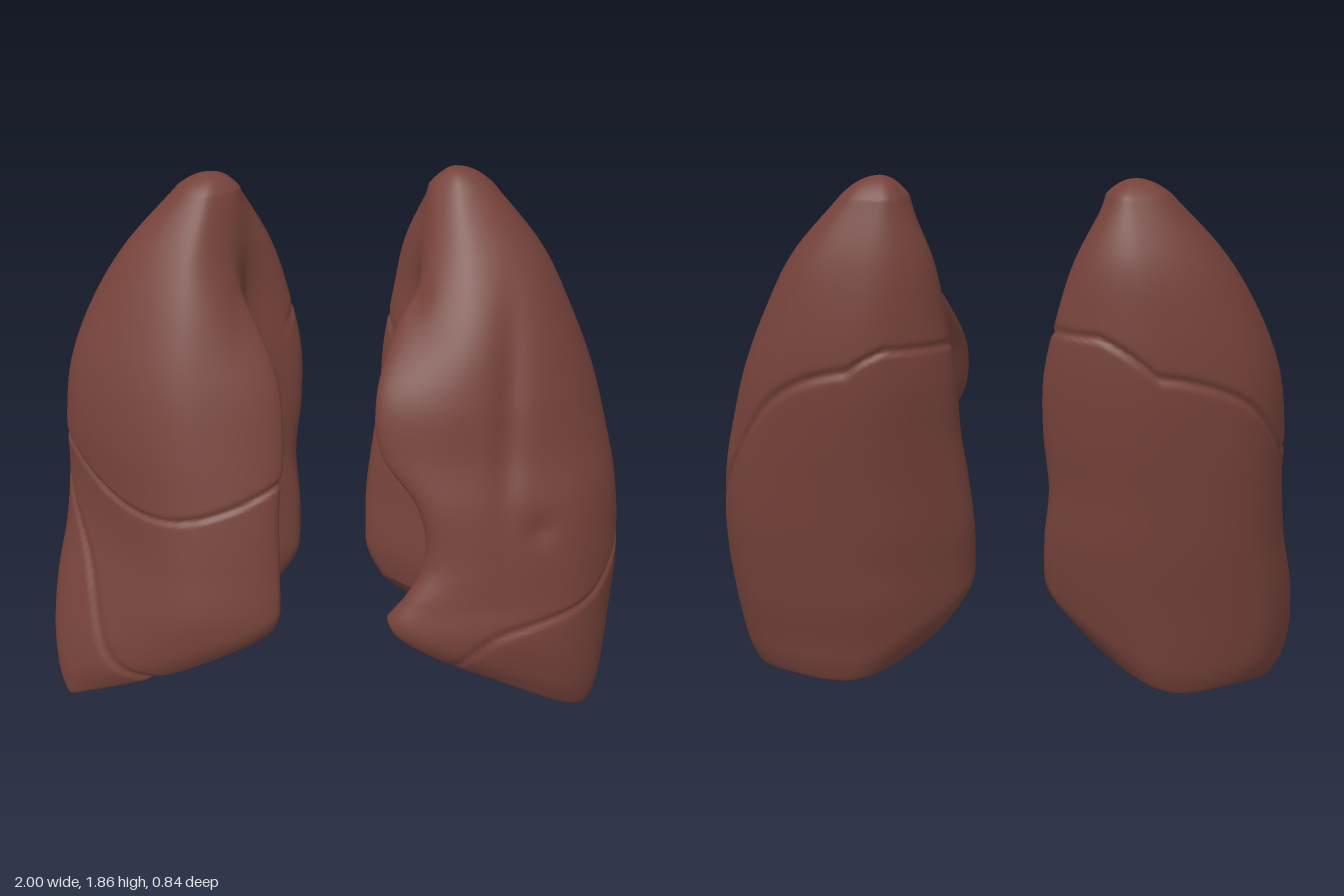
import * as THREE from 'three';

const COLS = 180, ROWS = 168, POINTS = 9;
const CAP = [0, 0.12, 0.25, 0.38, 0.5, 0.62, 0.73, 0.83, 0.91, 0.955, 0.985];
const { smoothstep } = THREE.MathUtils;

// Smooth function through [input, value, value...] rows
function smoothTable(rows) {
  const size = rows[0].length - 1;
  const f = new THREE.CubicInterpolant(rows.map(r => r[0]), rows.flatMap(r => r.slice(1)), size, new Float32Array(size));
  return v => f.evaluate(v);
}

// Closed Catmull-Rom value at position t (0..POINTS)
function loopValue(p, t) {
  const i = Math.floor(t), u = t - i;
  const [a, b, c, d] = [-1, 0, 1, 2].map(k => p[(i + k + POINTS) % POINTS]);
  return b + 0.5 * u * (c - a + u * (2 * a - 5 * b + 4 * c - d + u * (3 * (b - c) + d - a)));
}

// Horizontal outline: lateral, front corner, front, front edge, hilum, back edge, back shoulder, back, back corner
function outline([xl, zl, xf, zf, xmf, zmf, xh, xmb, zb, corner]) {
  const xb = (xl + xmb) / 2 - 0.03, zmb = zl + 0.45 * (zb - zl);
  return [
    [xl, xf + (corner + 0.02) * (xl - xf), xf, xmf, xh, xmb, xmb + 0.32 * (xb - xmb), xb, xb + 0.75 * (xl - xb)],
    [zl, zl + corner * (zf - zl), zf, zmf, (zmf + zmb) / 2, zmb, zmb + 0.7 * (zb - zmb), zb, zl + 0.72 * (zb - zl)],
  ];
}

// Fissure groove by distance, fading out around the hilum
const groove = (d, x, z) => 0.012 * Math.exp(-((d / 0.0095) ** 2))
  * Math.max(smoothstep(x, 0.32, 0.44), smoothstep(Math.abs(z), 0.16, 0.24));

// Signed distance from an oblique fissure whose height depends on depth z
function obliqueFissure(rows, frontX) {
  const height = smoothTable(rows);
  return (x, y, z) => {
    const zz = z - 0.75 * Math.max(0, 0.5 - x) * smoothstep(-z, 0, 0.15);
    const h = height(zz)[0], slope = (height(zz + 0.01)[0] - h) / 0.01;
    const drop = 5 * Math.max(0, frontX - x) ** 2 * smoothstep(z, 0.2, 0.35);
    return (y - h + drop) / Math.hypot(1, slope);
  };
}

// Builds one lung with its lobes; side is +1 or -1
function buildLung(spec, side, material) {
  const section = smoothTable(spec.rows);
  const [ax, top, az] = spec.apex, shoulder = 1.8;
  const [cx, cy, cz] = spec.base;
  const pos = [];

  const surfacePoint = (t, s) => {
    const rim = Math.max(0.012, loopValue(spec.rim, t));
    const y = rim + (top - rim) * s;
    const [px, pz] = outline(section(Math.min(y, shoulder)));
    let x = loopValue(px, t), z = loopValue(pz, t);
    // Lower edge, rounded most on the medial side
    const medial = smoothstep(cx - x, 0, 0.3) * smoothstep(0.3 - z, 0, 0.15);
    const tuck = (0.04 + 0.07 * medial) * Math.max(0, 1 - s / (0.05 + 0.03 * medial)) ** 2;
    x += (cx - x) * tuck;
    z += (cz - z) * tuck;
    // Domed apex
    const k = y > shoulder ? Math.sqrt(Math.max(0, (top - y) / (top - shoulder))) : 1;
    return [ax + (x - ax) * k, y, az + (z - az) * k];
  };

  // Slightly hollow base, from its centre out to the rim
  for (const r of CAP) {
    for (let j = 0; j < COLS; j++) {
      const [x, y, z] = surfacePoint(j * POINTS / COLS, 0);
      const lip = r > 0.9 ? 0.01 : 0;
      pos.push(cx + (x - cx) * r, Math.max(0, cy + (y - cy) * r ** 1.25 - lip), cz + (z - cz) * r);
    }
  }
  // Walls, from the rim up to the apex, with rows closing up at the tip
  for (let i = 0; i <= ROWS; i++) {
    const v = i / ROWS;
    const s = v < 0.9 ? v * 0.9474 / 0.9 : 1 - 5.263 * (1 - v) ** 2;
    for (let j = 0; j < COLS; j++) pos.push(...surfacePoint(j * POINTS / COLS, s));
  }

  // Faces, sorted by lobe
  const lobes = spec.lobes.map(() => []);
  const all = [];
  const rings = CAP.length + ROWS + 1;
  for (let i = 0; i < rings - 1; i++) {
    for (let j = 0; j < COLS; j++) {
      const a = i * COLS + j, b = i * COLS + (j + 1) % COLS, c = a + COLS, d = b + COLS;
      const quad = [a, c, b, b, c, d];
      all.push(...quad);
      lobes[spec.lobeAt(pos[a * 3], pos[a * 3 + 1], pos[a * 3 + 2])].push(...quad);
    }
  }

  // Press fissures and soft hollows inwards along the normals
  const whole = new THREE.BufferGeometry();
  whole.setAttribute('position', new THREE.Float32BufferAttribute(pos, 3));
  whole.setIndex(all);
  whole.computeVertexNormals();
  const P = whole.attributes.position, N = whole.attributes.normal;
  for (let i = 0; i < P.count; i++) {
    const x = P.getX(i), y = P.getY(i), z = P.getZ(i);
    let depth = spec.press(x, y, z);
    for (const [hx, hy, hz, rx, ry, rz, d] of spec.hollows) {
      depth += d * Math.exp(-(((x - hx) / rx) ** 2) - ((y - hy) / ry) ** 2 - ((z - hz) / rz) ** 2);
    }
    P.setXYZ(i, x - N.getX(i) * depth, Math.max(0, y - N.getY(i) * depth), z - N.getZ(i) * depth);
  }
  whole.computeVertexNormals();

  // Mirror for the other side
  if (side < 0) {
    for (let i = 0; i < P.count; i++) {
      P.setX(i, -P.getX(i));
      N.setX(i, -N.getX(i));
    }
    lobes.forEach(idx => idx.reverse());
  }

  const lung = new THREE.Group();
  lung.name = spec.name;
  spec.lobes.forEach((name, k) => {
    const g = new THREE.BufferGeometry();
    g.setAttribute('position', P);
    g.setAttribute('normal', N);
    g.setIndex(lobes[k]);
    const mesh = new THREE.Mesh(g, material);
    mesh.name = name;
    lung.add(mesh);
  });
  return lung;
}

export function createModel() {
  const tissue = new THREE.MeshStandardMaterial({ color: 0x75423a });
  tissue.name = 'lung tissue';

  const leftOblique = obliqueFissure([[-0.5, 1.32], [-0.42, 1.25], [-0.2, 0.87], [0, 0.65], [0.2, 0.5], [0.38, 0.43], [0.43, 0.38]], 0.6);
  const rightOblique = obliqueFissure([[-0.5, 1.36], [-0.4, 1.25], [-0.2, 0.98], [0, 0.73], [0.1, 0.6], [0.2, 0.46], [0.28, 0.32], [0.34, 0.2], [0.4, 0.08]], 0.63);
  const horizontal = smoothTable([[0.1, 0.92], [0.4, 0.8], [0.65, 0.77], [0.8, 0.82], [0.95, 0.94]]);
  const rightHorizontal = (x, y) => y - horizontal(x)[0];

  // Row: y, lateral x z, front x z, front edge x z, hilum x, back edge x, back z, corner fullness
  const left = {
    name: 'leftLung',
    lobes: ['leftUpperLobe', 'leftLowerLobe'],
    apex: [0.4, 1.865, -0.25],
    base: [0.56, 0.22, 0.05],
    rim: [0.045, 0.09, 0.28, 0.45, 0.37, 0.37, 0.22, 0.1, 0.1],
    rows: [
      [0, 0.93, 0.17, 0.5, 0.32, 0.25, 0.3, 0.36, 0.2, -0.25, 0.73],
      [0.2, 0.965, 0.1, 0.5, 0.38, 0.2, 0.34, 0.36, 0.13, -0.28, 0.72],
      [0.4, 0.985, 0.05, 0.46, 0.42, 0.155, 0.36, 0.36, 0.115, -0.32, 0.69],
      [0.52, 0.995, 0.03, 0.48, 0.39, 0.26, 0.35, 0.37, 0.11, -0.335, 0.68],
      [0.65, 0.995, 0, 0.52, 0.355, 0.33, 0.315, 0.38, 0.11, -0.355, 0.68],
      [0.85, 0.975, -0.03, 0.5, 0.31, 0.3, 0.28, 0.38, 0.13, -0.38, 0.68],
      [1, 0.94, -0.06, 0.42, 0.27, 0.18, 0.22, 0.36, 0.15, -0.4, 0.68],
      [1.2, 0.885, -0.1, 0.42, 0.22, 0.155, 0.16, 0.33, 0.16, -0.42, 0.68],
      [1.4, 0.805, -0.14, 0.45, 0.13, 0.22, 0.03, 0.29, 0.19, -0.415, 0.69],
      [1.6, 0.7, -0.2, 0.46, 0, 0.32, -0.06, 0.275, 0.23, -0.39, 0.72],
      [1.8, 0.53, -0.25, 0.41, -0.16, 0.335, -0.2, 0.305, 0.32, -0.34, 0.72],
    ],
    lobeAt: (x, y, z) => (leftOblique(x, y, z) > 0 ? 0 : 1),
    press: (x, y, z) => groove(leftOblique(x, y, z), x, z),
    hollows: [
      [0.6, 1.15, 0.18, 0.05, 0.35, 0.2, 0.022],
      [0.72, 0.77, 0.28, 0.05, 0.05, 0.1, 0.014],
      [0.27, 1.5, -0.02, 0.05, 0.08, 0.1, 0.015],
    ],
  };

  const right = {
    name: 'rightLung',
    lobes: ['rightUpperLobe', 'rightMiddleLobe', 'rightLowerLobe'],
    apex: [0.42, 1.85, -0.18],
    base: [0.57, 0.2, 0.05],
    rim: [0.01, 0.07, 0.23, 0.38, 0.31, 0.35, 0.2, 0.08, 0.09],
    rows: [
      [0, 0.965, 0.2, 0.5, 0.33, 0.25, 0.3, 0.38, 0.25, -0.25, 0.72],
      [0.2, 1, 0.11, 0.5, 0.39, 0.2, 0.33, 0.37, 0.19, -0.28, 0.66],
      [0.4, 0.99, 0.05, 0.48, 0.405, 0.165, 0.34, 0.37, 0.14, -0.31, 0.59],
      [0.6, 0.955, -0.01, 0.48, 0.36, 0.165, 0.3, 0.37, 0.135, -0.34, 0.56],
      [0.8, 0.94, -0.05, 0.48, 0.31, 0.17, 0.25, 0.37, 0.15, -0.36, 0.59],
      [1, 0.94, -0.06, 0.48, 0.26, 0.16, 0.18, 0.35, 0.13, -0.38, 0.62],
      [1.2, 0.915, -0.08, 0.48, 0.2, 0.18, 0.11, 0.32, 0.13, -0.39, 0.63],
      [1.4, 0.84, -0.11, 0.48, 0.12, 0.26, 0.03, 0.3, 0.17, -0.38, 0.63],
      [1.6, 0.72, -0.13, 0.48, 0.02, 0.35, -0.04, 0.29, 0.23, -0.35, 0.64],
      [1.8, 0.54, -0.18, 0.43, -0.09, 0.355, -0.13, 0.325, 0.34, -0.27, 0.71],
    ],
    lobeAt: (x, y, z) => (rightOblique(x, y, z) <= 0 ? 2 : rightHorizontal(x, y) > 0 ? 0 : 1),
    press: (x, y, z) => {
      const f = rightOblique(x, y, z);
      return Math.max(groove(f, x, z), f > 0 ? groove(rightHorizontal(x, y), x, z) : 0);
    },
    hollows: [[0.28, 1.5, -0.04, 0.07, 0.18, 0.15, 0.02]],
  };

  const model = new THREE.Group();
  model.name = 'lungs';
  model.add(buildLung(left, 1, tissue), buildLung(right, -1, tissue));
  return model;
}
